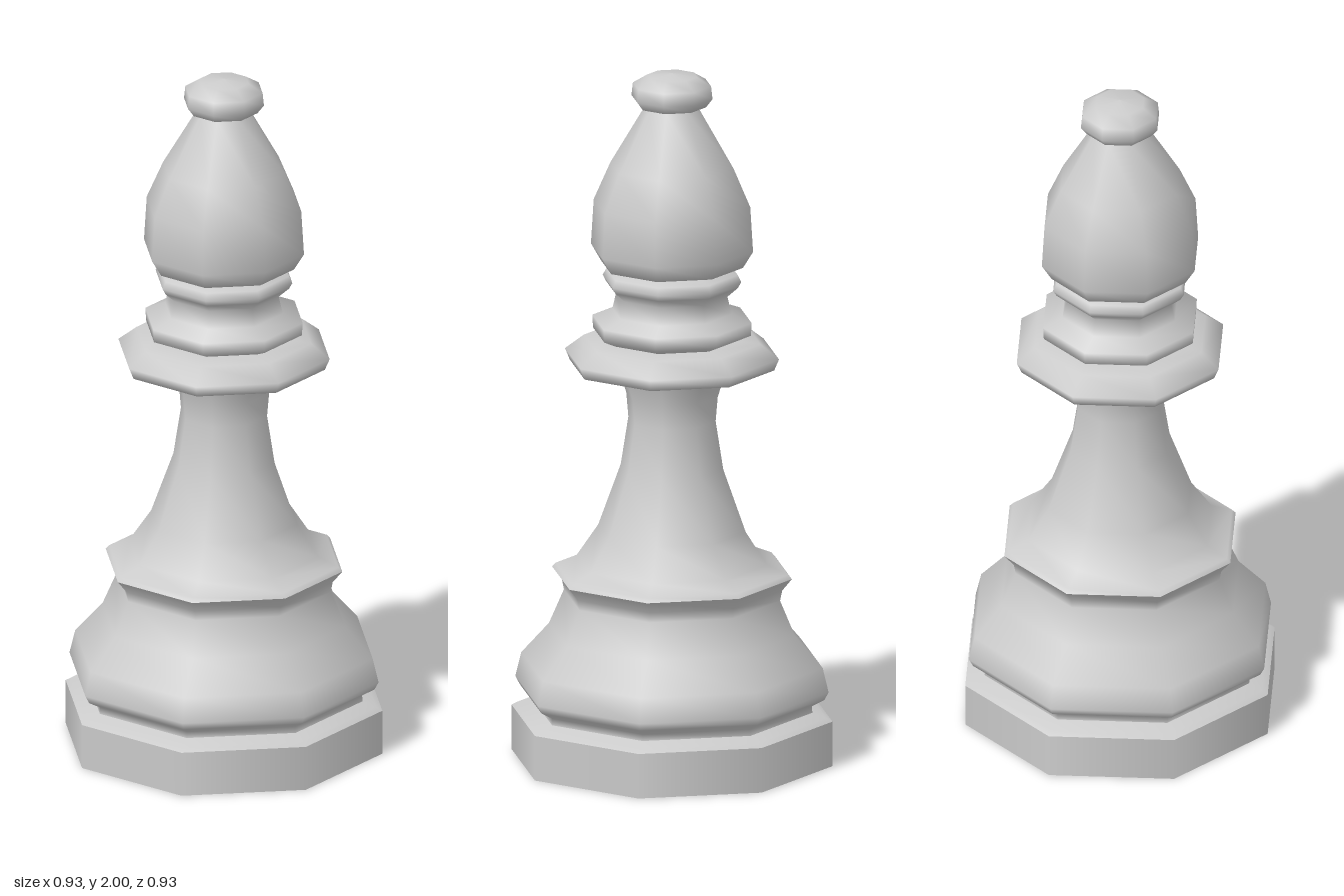
import * as THREE from 'three';

const SIDES = 8;

// Profiles run bottom to top as [radius, height]; each part ends at a hard edge.
const profiles = {
  baseUnderside: [[0, 0], [0.463, 0]],
  basePlinth: [[0.463, 0], [0.463, 0.13]],
  plinthTop: [[0.463, 0.13], [0.445, 0.14], [0.405, 0.153]],
  lowerBody: [
    [0.405, 0.153], [0.404, 0.172], [0.44, 0.192], [0.452, 0.215], [0.435, 0.285],
    [0.355, 0.375], [0.312, 0.475], [0.318, 0.505], [0.346, 0.54],
  ],
  stem: [
    [0.346, 0.54], [0.335, 0.552], [0.275, 0.578], [0.213, 0.67], [0.148, 0.85],
    [0.126, 0.99], [0.132, 1.06], [0.147, 1.11],
  ],
  collar: [
    [0.147, 1.11], [0.295, 1.147], [0.309, 1.18], [0.255, 1.222], [0.19, 1.228],
  ],
  neckRings: [
    [0.19, 1.228], [0.228, 1.245], [0.23, 1.282], [0.172, 1.305], [0.16, 1.355],
    [0.19, 1.382], [0.2, 1.4], [0.19, 1.42], [0.15, 1.43],
  ],
  head: [
    [0.15, 1.43], [0.205, 1.442], [0.234, 1.49], [0.226, 1.62], [0.178, 1.73],
    [0.078, 1.9],
  ],
  finial: [
    [0.06, 1.898], [0.098, 1.905], [0.117, 1.93], [0.113, 1.967], [0.072, 1.992], [0, 2],
  ],
};

export function createModel() {
  const group = new THREE.Group();
  group.name = 'chessBishop';
  const material = new THREE.MeshStandardMaterial({ color: 0xcccccc });

  // Turn every profile into an eight-sided ring section
  for (const [name, profile] of Object.entries(profiles)) {
    const points = profile.map(([r, y]) => new THREE.Vector2(r, y));
    const mesh = new THREE.Mesh(new THREE.LatheGeometry(points, SIDES), material);
    mesh.name = name;
    group.add(mesh);
  }
  return group;
}
